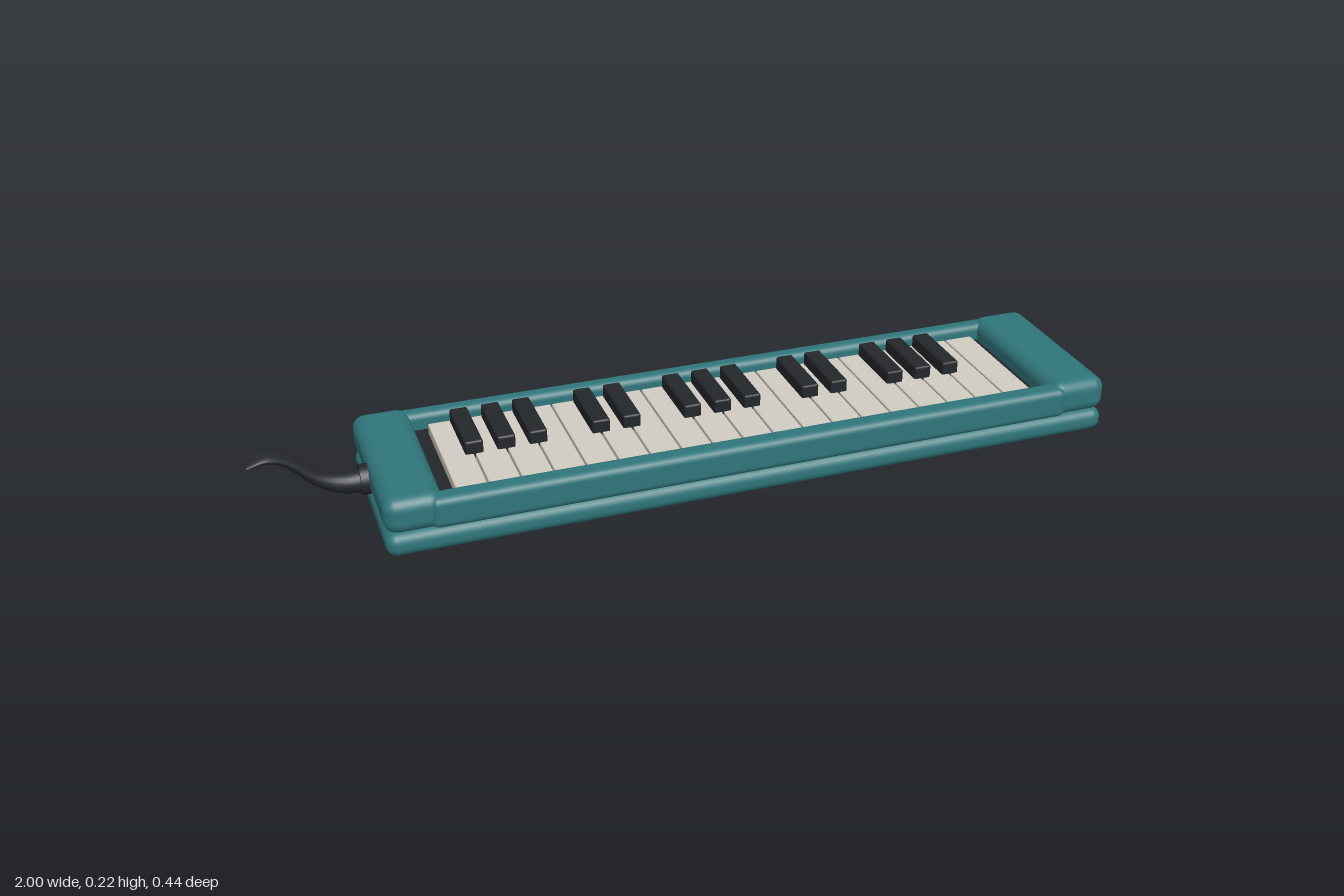
import * as THREE from 'three';
import { RoundedBoxGeometry } from 'three/addons/geometries/RoundedBoxGeometry.js';

const mat = (color) => new THREE.MeshStandardMaterial({ color });
const teal = mat(0x2f757a), ivory = mat(0xd0ccc2), black = mat(0x23272b), rubber = mat(0x333333), steel = mat(0x888888);

function add(parent, name, geometry, material, x = 0, y = 0, z = 0) {
  const mesh = new THREE.Mesh(geometry, material);
  mesh.name = name;
  mesh.position.set(x, y, z);
  parent.add(mesh);
  return mesh;
}

// Box given by its min and max on each axis, rounded when r > 0
function block(parent, name, material, [x0, x1], [y0, y1], [z0, z1], r = 0, seg = 4) {
  const size = [x1 - x0, y1 - y0, z1 - z0];
  const geo = r ? new RoundedBoxGeometry(...size, seg, r) : new THREE.BoxGeometry(...size);
  return add(parent, name, geo, material, (x0 + x1) / 2, (y0 + y1) / 2, (z0 + z1) / 2);
}

// Curved mouthpiece: elliptical sections swept along a path in the xy plane
function mouthpieceGeometry() {
  // x, y, half height, half width
  const stations = [
    [-0.74, 0.112, 0.026, 0.025], [-0.795, 0.113, 0.024, 0.024], [-0.85, 0.136, 0.018, 0.024],
    [-0.91, 0.19, 0.013, 0.025], [-0.955, 0.212, 0.012, 0.034], [-1, 0.208, 0.008, 0.044],
  ];
  const path = new THREE.CatmullRomCurve3(stations.map((s) => new THREE.Vector3(s[0], s[1], 0)), false, 'catmullrom');
  const sizes = new THREE.CatmullRomCurve3(stations.map((s) => new THREE.Vector3(s[2], s[3], 0)), false, 'catmullrom');
  const steps = 30, sides = 24, pos = [], index = [];
  // two extra rings close the tip with a flat cap
  for (let i = 0; i <= steps + 2; i++) {
    const t = Math.min(i / steps, 1);
    const c = path.getPoint(t), d = path.getTangent(t), s = sizes.getPoint(t);
    const k = i === steps + 2 ? 0 : 1;
    for (let j = 0; j <= sides; j++) {
      const a = (j / sides) * Math.PI * 2;
      const h = Math.cos(a) * s.x * k;
      pos.push(c.x + d.y * h, c.y - d.x * h, Math.sin(a) * s.y * k);
      if (i <= steps + 1 && j < sides) {
        const p = i * (sides + 1) + j, q = p + sides + 1;
        index.push(p, q, p + 1, q, q + 1, p + 1);
      }
    }
  }
  const geo = new THREE.BufferGeometry();
  geo.setAttribute('position', new THREE.Float32BufferAttribute(pos, 3));
  geo.setIndex(index);
  geo.computeVertexNormals();
  return geo;
}

export function createModel() {
  const model = new THREE.Group();
  model.name = 'keyboardWindInstrument';

  // Case: lower shell, end blocks and long rails
  const body = new THREE.Group();
  body.name = 'case';
  model.add(body);
  block(body, 'lowerShell', teal, [-0.745, 1], [0.027, 0.084], [-0.216, 0.214], 0.025);
  block(body, 'rightEndBlock', teal, [-0.745, -0.613], [0.082, 0.168], [-0.216, 0.214], 0.03);
  block(body, 'leftEndBlock', teal, [0.857, 1], [0.082, 0.168], [-0.216, 0.214], 0.03);
  block(body, 'frontRail', teal, [-0.645, 0.89], [0.084, 0.159], [0.165, 0.219], 0.018);
  block(body, 'backRail', teal, [-0.645, 0.89], [0.084, 0.159], [-0.217, -0.172], 0.018);
  block(body, 'keyBed', black, [-0.64, 0.88], [0.07, 0.118], [-0.19, 0.185]);

  // Keys: nineteen white, black ones on the listed joints
  const keys = new THREE.Group();
  keys.name = 'keys';
  model.add(keys);
  const count = 19, x0 = -0.58, pitch = 0.074;
  for (let i = 0; i < count; i++) {
    const x = x0 + i * pitch;
    block(keys, 'whiteKey', ivory, [x + 0.002, x + pitch - 0.002], [0.1, 0.143], [-0.15, 0.159], 0.003, 2);
  }
  for (const i of [1, 2, 3, 5, 6, 8, 9, 10, 12, 13, 15, 16, 17]) {
    const x = x0 + i * pitch;
    block(keys, 'blackKey', black, [x - 0.021, x + 0.021], [0.12, 0.174], [-0.148, 0.021], 0.005, 2);
  }

  // Mouthpiece with its collar on the end block
  const collar = add(model, 'mouthpieceCollar', new THREE.CylinderGeometry(0.035, 0.035, 0.03, 32), black, -0.748, 0.114, 0);
  collar.rotation.z = Math.PI / 2;
  add(model, 'mouthpiece', mouthpieceGeometry(), black);

  // Feet and small pins under the case
  for (const x of [-0.6, 0.85]) {
    add(model, 'foot', new THREE.CylinderGeometry(0.041, 0.041, 0.035, 32), rubber, x, 0.0175, 0);
  }
  for (const x of [-0.67, 0.92]) {
    add(model, 'pin', new THREE.CylinderGeometry(0.01, 0.01, 0.012, 16), steel, x, 0.028, -0.122);
  }
  return model;
}
